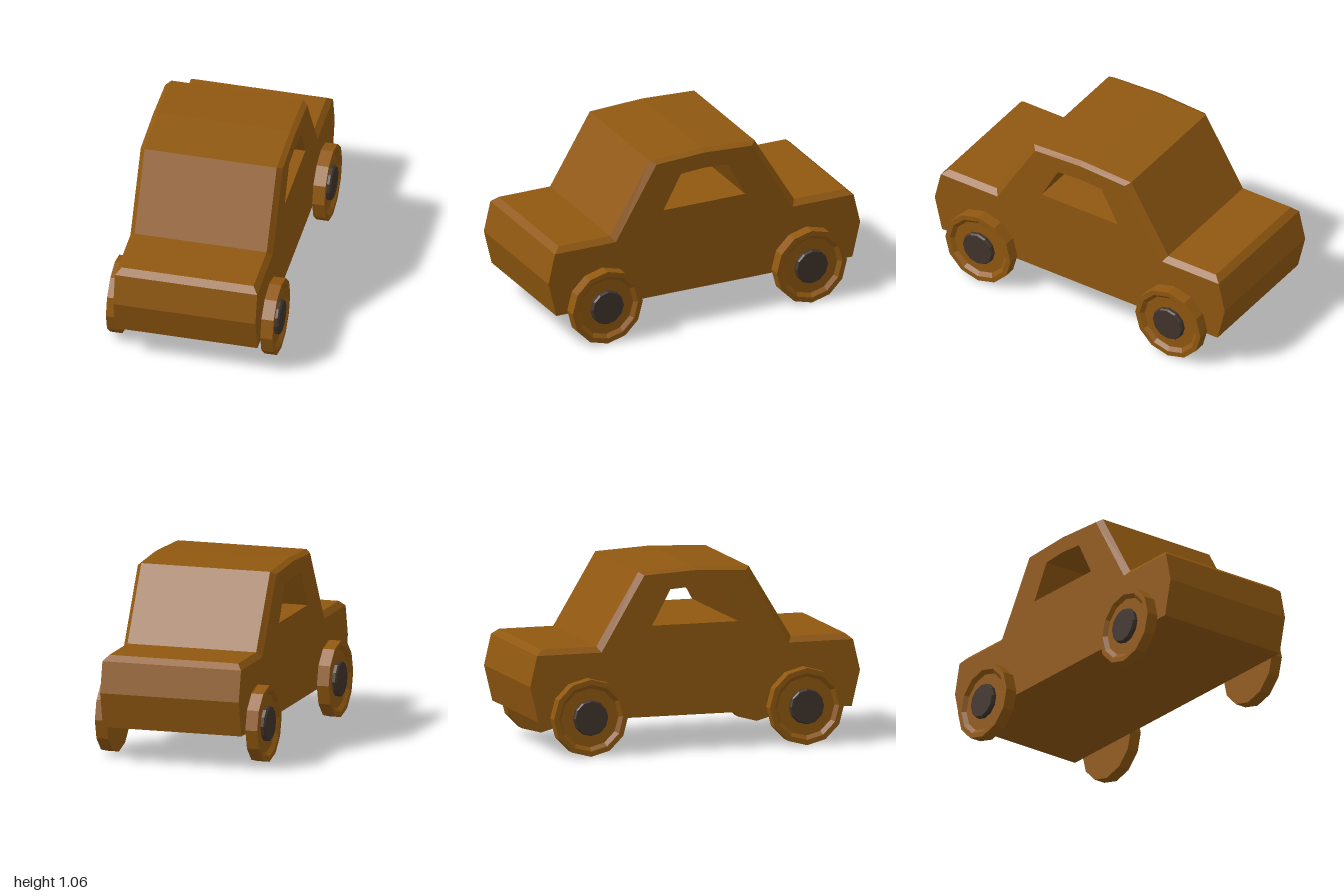
import * as THREE from 'three';
import { mergeGeometries } from 'three/addons/utils/BufferGeometryUtils.js';

const wood = new THREE.MeshStandardMaterial({ color: 0x905810, flatShading: true });
const darkWood = new THREE.MeshStandardMaterial({ color: 0x40342c, flatShading: true });

// Half outline (last point on the centre line) mirrored to a full counter-clockwise loop
function mirrorOutline(half) {
  const back = half.slice(0, -1).reverse().map(([u, y]) => [-u, y]);
  return [...half, ...back];
}

// Flat-sided skin joining the same outline at successive depths
function loft(rings) {
  const pos = [];
  for (let r = 0; r + 1 < rings.length; r++) {
    const [a, b] = [rings[r], rings[r + 1]];
    const n = a.points.length;
    for (let i = 0; i < n; i++) {
      const j = (i + 1) % n;
      const p = [...a.points[i], a.depth], q = [...a.points[j], a.depth];
      const s = [...b.points[j], b.depth], t = [...b.points[i], b.depth];
      pos.push(...p, ...q, ...s, ...p, ...s, ...t);
    }
  }
  const g = new THREE.BufferGeometry();
  g.setAttribute('position', new THREE.Float32BufferAttribute(pos, 3));
  g.computeVertexNormals();
  return g;
}

const toShape = (points) => new THREE.Shape(points.map(([u, y]) => new THREE.Vector2(u, y)));

function createBody() {
  const halfWidth = 0.42, inner = 0.39;
  const full = mirrorOutline([[0.95, 0.203], [1, 0.412], [0.958, 0.592], [0.92, 0.624],
    [0.59, 0.624], [0.335, 1.046], [0, 1.062]]);
  // Side outline, drawn in along the upper edges to make the chamfer
  const side = mirrorOutline([[0.95, 0.203], [1, 0.412], [0.958, 0.592], [0.958, 0.592],
    [0.568, 0.592], [0.308, 1.028], [0, 1.044]]);
  const opening = mirrorOutline([[0.262, 0.733], [0.15, 0.94], [0, 0.95]]);

  const skin = loft([
    { depth: -halfWidth, points: side }, { depth: -inner, points: full },
    { depth: inner, points: full }, { depth: halfWidth, points: side },
  ]);
  // Window tunnel through the cabin
  const reversed = [...opening].reverse();
  const tunnel = loft([{ depth: -halfWidth, points: reversed }, { depth: halfWidth, points: reversed }]);
  // Side panels with the window cut out
  const panelShape = toShape(side.filter((p, i) => i === 0 || p.join() !== side[i - 1].join()));
  panelShape.holes.push(toShape(opening));
  const panel = new THREE.ShapeGeometry(panelShape).toNonIndexed().translate(0, 0, halfWidth);
  panel.deleteAttribute('uv');

  const body = new THREE.Mesh(
    mergeGeometries([skin, tunnel, panel, panel.clone().rotateY(Math.PI)]).rotateY(Math.PI / 2), wood);
  body.name = 'carBody';
  return body;
}

// Wheel with its axis on +x, inner face at x = 0
function createWheel() {
  const wheel = new THREE.Group();
  const profile = [[0, 0], [0.225, 0], [0.225, 0.072], [0.195, 0.072], [0.172, 0.052], [0, 0.052]]
    .map(([r, h]) => new THREE.Vector2(r, h));
  const tyre = new THREE.Mesh(new THREE.LatheGeometry(profile, 12).rotateZ(-Math.PI / 2), wood);
  tyre.name = 'wheelDisc';
  // Axle cap with a slightly bevelled rim
  const hubProfile = [[0.104, 0.05], [0.104, 0.07], [0.097, 0.08], [0, 0.08]]
    .map(([r, h]) => new THREE.Vector2(r, h));
  const hub = new THREE.Mesh(new THREE.LatheGeometry(hubProfile, 12).rotateZ(-Math.PI / 2), darkWood);
  hub.name = 'axleCap';
  wheel.add(tyre, hub);
  return wheel;
}

export function createModel() {
  const car = new THREE.Group();
  car.name = 'toyCar';
  car.add(createBody());
  for (const sx of [1, -1]) {
    for (const sz of [1, -1]) {
      const wheel = createWheel();
      wheel.name = `${sz > 0 ? 'front' : 'back'}${sx > 0 ? 'Left' : 'Right'}Wheel`;
      wheel.position.set(sx * 0.42, 0.225, sz * 0.655);
      if (sx < 0) wheel.rotation.y = Math.PI;
      car.add(wheel);
    }
  }
  return car;
}
